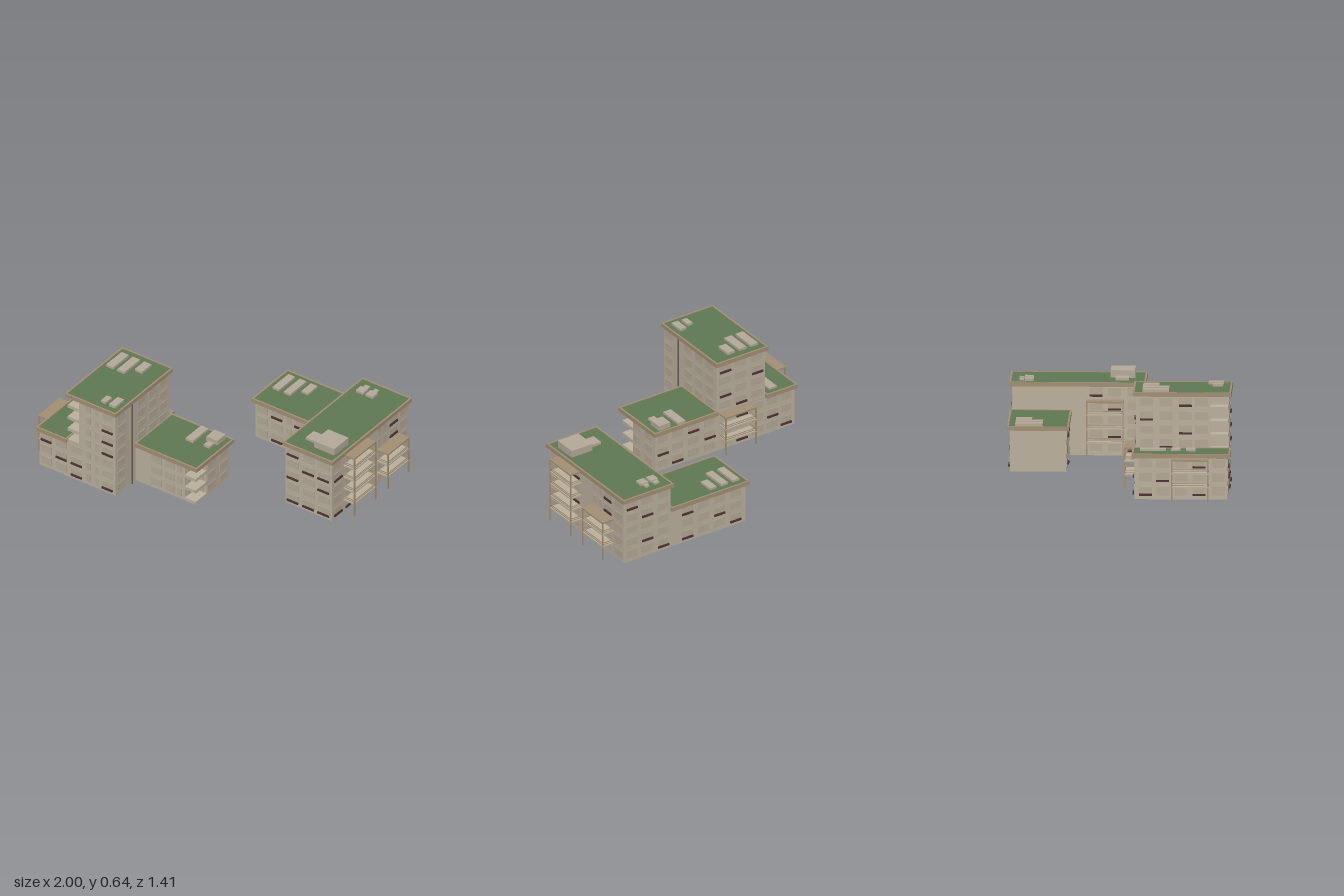
import * as THREE from 'three';

const mat = (name, color, side = THREE.FrontSide) => {
  const m = new THREE.MeshStandardMaterial({ color, side });
  m.name = name;
  return m;
};

export function createModel() {
  const root = new THREE.Group();
  root.name = 'apartmentBlocks';
  const FLOOR = 0.0865;
  const wall = mat('wallStone', 0xbab09d, THREE.DoubleSide);
  const pane = mat('windowPane', 0xb3a895);
  const trim = mat('parapetBrown', 0xa28f74);
  const grass = mat('roofGreen', 0x5f7852);
  const unit = mat('roofUnit', 0xb5aa9a);
  const dark = mat('railMaroon', 0x4d3333);
  const metal = mat('pipeMetal', 0x5f5a50);

  const box = (parent, name, m, w, h, d, x, y, z) => {
    const mesh = new THREE.Mesh(new THREE.BoxGeometry(w, h, d), m);
    mesh.name = name;
    mesh.position.set(x, y, z);
    parent.add(mesh);
    return mesh;
  };
  const group = (name) => {
    const g = new THREE.Group();
    g.name = name;
    root.add(g);
    return g;
  };

  // Hollow walls standing on a closed footprint of [x, z] points
  const walls = (name, pts, y0, y1) => {
    const pos = [];
    pts.forEach(([ax, az], i) => {
      const [bx, bz] = pts[(i + 1) % pts.length];
      pos.push(ax, y0, az, bx, y0, bz, bx, y1, bz, ax, y0, az, bx, y1, bz, ax, y1, az);
    });
    const g = new THREE.BufferGeometry();
    g.setAttribute('position', new THREE.Float32BufferAttribute(pos, 3));
    g.computeVertexNormals();
    const mesh = new THREE.Mesh(g, wall);
    mesh.name = name;
    root.add(mesh);
  };

  // Parapet ring with a ceiling plate and a green roof inside
  const roof = (name, x0, x1, z0, z1, y) => {
    const g = group(name);
    const w = x1 - x0, d = z1 - z0, cx = (x0 + x1) / 2, cz = (z0 + z1) / 2, t = 0.012;
    for (const s of [-1, 1]) {
      box(g, 'parapet', trim, w, 0.027, t, cx, y + 0.0135, cz + s * (d - t) / 2);
      box(g, 'parapet', trim, t, 0.027, d - 2 * t, cx + s * (w - t) / 2, y + 0.0135, cz);
    }
    box(g, 'ceiling', trim, w - 2 * t, 0.012, d - 2 * t, cx, y + 0.006, cz);
    box(g, 'greenRoof', grass, w - 2 * t, 0.011, d - 2 * t, cx, y + 0.0175, cz);
  };

  // Windows on one wall: dir is the outward axis, wins are [position, width], rails are [window, floor]
  const TURN = { '+z': 0, '+x': Math.PI / 2, '-z': Math.PI, '-x': -Math.PI / 2 };
  const facade = (name, dir, at, wins, k0, k1, rails = null) => {
    const g = group(name);
    wins.forEach(([p, w], i) => {
      for (let k = k0; k < k1; k++) {
        const win = new THREE.Group();
        win.name = 'window';
        win.rotation.y = TURN[dir];
        const y = 0.0525 + k * FLOOR;
        if (dir[1] === 'z') win.position.set(p, y, at);
        else win.position.set(at, y, p);
        g.add(win);
        box(win, 'windowPane', pane, w, 0.053, 0.003, 0, 0, 0.002);
        const railed = rails ? rails.some(([a, b]) => a === i && b === k) : (i * 5 + k * 3) % 7 < 2;
        if (railed && w > 0.05) box(win, 'windowRail', dark, w, 0.013, 0.01, 0, -0.0225, 0.0065);
      }
    });
  };
  const row = (list, w = 0.08) => list.map((p) => [p, w]);

  // Free-standing balcony tower; out is the side (axis sign) carrying the posts
  const balcony = (name, x0, x1, z0, z1, floors, out) => {
    const g = group(name);
    const w = x1 - x0, d = z1 - z0, cx = (x0 + x1) / 2, cz = (z0 + z1) / 2;
    const top = floors * FLOOR, alongZ = out[1] === 'x', s = out[0] === '+' ? 1 : -1, q = 0.008;
    const edgeX = cx + s * (w - q) / 2, edgeZ = cz + s * (d - q) / 2;
    box(g, 'balconyRoof', trim, w, 0.01, d, cx, top, cz);
    for (let k = 1; k < floors; k++) {
      box(g, 'balconySlab', wall, w, 0.01, d, cx, k * FLOOR + 0.005, cz);
      for (const h of [0.022, 0.034]) {
        const y = k * FLOOR + h - 0.004;
        if (alongZ) box(g, 'handrail', trim, 0.004, 0.004, d, edgeX, y, cz);
        else box(g, 'handrail', trim, w, 0.004, 0.004, cx, y, edgeZ);
        for (const e of [-1, 1]) {
          if (alongZ) box(g, 'sideRail', trim, w, 0.004, 0.004, cx, y, cz + e * (d - q) / 2);
          else box(g, 'sideRail', trim, 0.004, 0.004, d, cx + e * (w - q) / 2, y, cz);
        }
      }
    }
    for (const e of [-1, 1]) {
      if (alongZ) box(g, 'post', trim, q, top, q, edgeX, top / 2, cz + e * (d - q) / 2);
      else box(g, 'post', trim, q, top, q, cx + e * (w - q) / 2, top / 2, edgeZ);
    }
  };

  // Floor slabs filling an open corner
  const loggia = (name, x0, x1, z0, z1, k0, k1) => {
    const g = group(name);
    for (let k = k0; k < k1; k++)
      box(g, 'loggiaSlab', wall, x1 - x0, 0.022, z1 - z0, (x0 + x1) / 2, k * FLOOR + 0.011, (z0 + z1) / 2);
  };

  const Y3 = 3 * FLOOR, Y5 = 5 * FLOOR, Y7 = 7 * FLOOR;

  // Tower block with a wing on each side
  walls('towerBlockBase', [[-0.905, 0.11], [-0.905, 0.685], [-0.325, 0.685], [-0.325, 0.475],
    [0.05, 0.475], [0.05, 0.36], [0.132, 0.36], [0.132, 0.11]], 0, Y3);
  walls('towerUpper', [[-0.69, 0.115], [-0.69, 0.57], [-0.605, 0.57], [-0.605, 0.685],
    [-0.325, 0.685], [-0.325, 0.115]], Y3, Y7);
  loggia('towerLoggia', -0.69, -0.605, 0.57, 0.685, 3, 7);
  loggia('wingLoggia', 0.05, 0.132, 0.36, 0.475, 0, 3);
  roof('towerRoof', -0.7, -0.313, 0.093, 0.702, Y7);
  roof('outerWingRoof', -0.92, -0.69, 0.093, 0.702, Y3);
  roof('innerWingRoof', -0.325, 0.15, 0.093, 0.49, Y3);

  facade('outerWingFront', '+z', 0.685, row([-0.85, -0.735, -0.62]), 0, 3, [[0, 2], [1, 1], [2, 1], [2, 0]]);
  facade('towerFront', '+z', 0.685, [[-0.385, 0.08], [-0.465, 0.03], [-0.53, 0.035]], 0, 7, [[0, 5], [0, 4], [0, 3], [0, 0]]);
  facade('towerLoggiaFront', '+z', 0.57, [[-0.645, 0.05]], 3, 7, []);
  facade('innerWingFront', '+z', 0.475, [[-0.165, 0.08], [-0.065, 0.07], [0.01, 0.035]], 0, 3, []);
  facade('wingLoggiaFront', '+z', 0.36, [[0.088, 0.05]], 0, 3, []);
  facade('wingLoggiaSide', '+x', 0.05, [[0.415, 0.08]], 0, 3, []);
  facade('innerWingSide', '+x', 0.132, row([0.31, 0.185]), 0, 3, []);
  facade('towerSideFront', '+x', -0.325, [[0.63, 0.085]], 0, 7, []);
  facade('towerSide', '+x', -0.325, row([0.415, 0.3, 0.185]), 3, 7, []);
  facade('towerBack', '-z', 0.115, row([-0.63, -0.51, -0.39]), 3, 7);
  facade('blockBack', '-z', 0.11, row([-0.84, -0.74, -0.63, -0.51, -0.4, -0.27, -0.15, -0.03, 0.08]), 0, 3);
  facade('towerOuterSide', '-x', -0.69, row([0.18, 0.3, 0.42, 0.52]), 3, 7);
  facade('outerWingSide', '-x', -0.905, row([0.18, 0.285, 0.4, 0.51, 0.63]), 0, 3);
  balcony('outerBalcony', -1, -0.905, 0.34, 0.57, 3, '-x');
  balcony('backBalcony', -0.577, -0.343, 0.038, 0.11, 3, '-z');

  const pipe = new THREE.Mesh(new THREE.CylinderGeometry(0.005, 0.005, Y7, 10), metal);
  pipe.name = 'downpipe';
  pipe.position.set(-0.318, Y7 / 2, 0.52);
  root.add(pipe);

  // L-shaped block
  walls('longBlockBase', [[0.005, -0.685], [0.005, -0.335], [0.565, -0.335], [0.565, 0.125],
    [0.915, 0.125], [0.915, -0.685]], 0, Y3);
  walls('longBlockUpper', [[0.565, -0.685], [0.565, 0.125], [0.915, 0.125], [0.915, -0.685]], Y3, Y5);
  roof('longBlockRoof', 0.552, 0.93, -0.705, 0.14, Y5);
  roof('lowWingRoof', -0.015, 0.565, -0.702, -0.32, Y3);

  facade('longBlockFront', '+z', 0.125, row([0.62, 0.74, 0.855], 0.085), 0, 5,
    [[0, 4], [0, 2], [0, 0], [1, 3], [1, 0], [2, 3], [2, 2], [2, 0]]);
  facade('longBlockSide', '+x', 0.915, [...row([0.065, -0.055, -0.17]), [-0.375, 0.03], [-0.435, 0.03],
    ...row([-0.52, -0.63])], 0, 5, [[0, 0], [0, 3], [1, 0], [2, 2], [2, 4], [5, 3], [5, 4]]);
  facade('longBlockInnerSide', '-x', 0.565, row([0.065, -0.055, -0.17]), 0, 5);
  facade('lowWingFront', '+z', -0.335, [[0.06, 0.08], [0.17, 0.08], [0.26, 0.035], [0.345, 0.08], [0.45, 0.08]], 0, 3,
    [[1, 2], [1, 0], [3, 2]]);
  facade('lowWingBack', '-z', -0.685, row([0.08, 0.2, 0.32, 0.44]), 0, 3);
  facade('longBlockBack', '-z', -0.685, row([0.62, 0.74, 0.855]), 0, 5);
  balcony('tallBalcony', 0.915, 1, -0.228, 0.003, 5, '+x');
  balcony('lowBalcony', 0.915, 1, -0.578, -0.353, 3, '+x');
  balcony('courtBalcony', 0.488, 0.565, -0.228, 0.003, 4, '-x');

  // Rooftop units: [x, z, width, depth, height] above each roof
  const units = (name, y, list) => {
    const g = group(name);
    for (const [x, z, w, d, h] of list) box(g, 'roofUnit', unit, w, h, d, x, y + h / 2, z);
  };
  units('outerWingUnits', Y3 + 0.015, [[-0.768, 0.222, 0.056, 0.162, 0.02], [-0.768, 0.364, 0.056, 0.058, 0.02],
    [-0.768, 0.455, 0.056, 0.058, 0.02]]);
  units('towerUnits', Y7 + 0.015, [[-0.635, 0.235, 0.055, 0.165, 0.024], [-0.55, 0.235, 0.055, 0.165, 0.024],
    [-0.463, 0.203, 0.055, 0.1, 0.024], [-0.448, 0.613, 0.037, 0.065, 0.024], [-0.379, 0.602, 0.048, 0.095, 0.024]]);
  units('innerWingUnits', Y3 + 0.015, [[-0.063, 0.19, 0.056, 0.165, 0.024], [0.06, 0.16, 0.085, 0.088, 0.042],
    [0.062, 0.238, 0.045, 0.05, 0.024]]);
  units('lowWingUnits', Y3 + 0.015, [[0.053, -0.568, 0.05, 0.17, 0.023], [0.138, -0.568, 0.05, 0.17, 0.023],
    [0.223, -0.603, 0.05, 0.1, 0.023]]);
  units('longBlockUnits', Y5 + 0.015, [[0.815, -0.008, 0.155, 0.152, 0.055], [0.69, -0.01, 0.08, 0.085, 0.024],
    [0.635, -0.585, 0.055, 0.055, 0.024], [0.708, -0.585, 0.055, 0.055, 0.024],
    [0.637, -0.63, 0.035, 0.03, 0.02], [0.708, -0.63, 0.028, 0.03, 0.02]]);

  return root;
}
